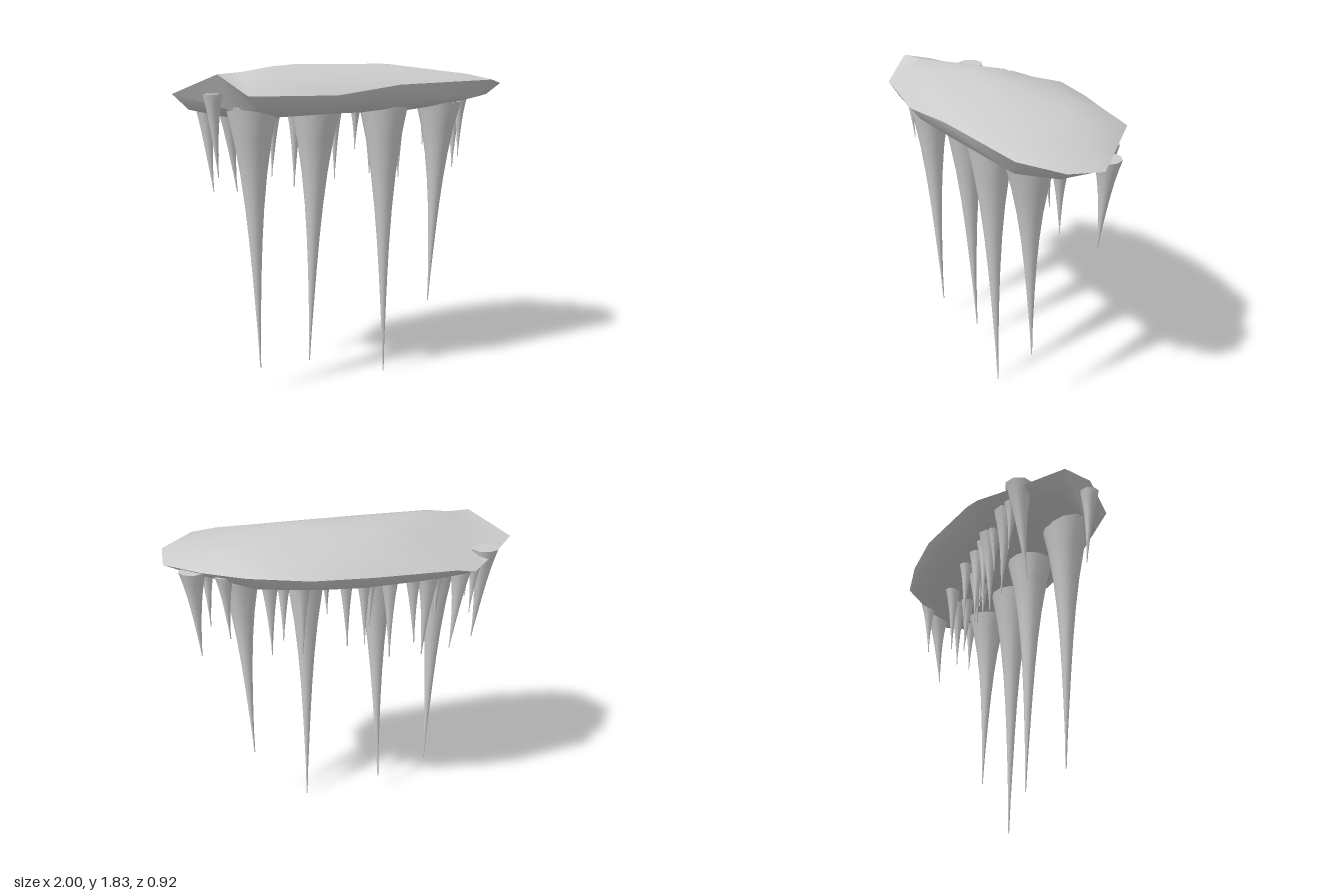
import * as THREE from 'three';
import { toCreasedNormals } from 'three/addons/utils/BufferGeometryUtils.js';

const material = new THREE.MeshStandardMaterial({ color: 0xcccccc });

// Rim of the slab, clockwise from above: x, z, height
const rim = [
  [-1, 0, 1.675], [-0.82, -0.18, 1.64], [-0.63, -0.365, 1.62], [-0.52, -0.385, 1.645], [-0.03, -0.46, 1.68],
  [0.3, -0.45, 1.69], [0.62, -0.39, 1.715], [0.82, -0.18, 1.69], [1, 0, 1.69],
  [0.985, 0.2, 1.715], [0.8, 0.37, 1.74], [0.15, 0.43, 1.72], [-0.24, 0.455, 1.67], [-0.72, 0.395, 1.67],
  [-0.83, 0.24, 1.78],
];

// Shrinking rings below and above the rim: scale, height (null = the rim itself)
const rings = [
  [0, 1.555], [0.4, 1.56], [0.7, 1.575], [0.91, 1.62], [1, null],
  [0.83, 1.79], [0.58, 1.825], [0.28, 1.83], [0, 1.83],
];

function slabGeometry() {
  const positions = [], index = [], n = rim.length;
  rings.forEach(([s, h], i) => {
    rim.forEach(([x, z, rimY], j) => {
      let y = h ?? rimY;
      if (i > 4) { // top slopes down to the +x end, the long edges and the back corner at -x
        const endSlope = 1.83 - 0.17 * (x * s - 0.36);
        const edgeSlope = 1.83 - 0.27 * Math.max(0, Math.abs(z * s) - 0.1);
        const cornerSlope = 1.93 + 0.286 * x * s + 0.37 * z * s;
        y = Math.min(y, endSlope, edgeSlope, cornerSlope);
      }
      if (i === 2 || i === 3) y = Math.min(y + 0.03 * x, rimY - 0.02); // underside rises to +x
      positions.push(x * s, y, z * s);
      if (i < rings.length - 1) {
        const k = (j + 1) % n, a = i * n + j, b = i * n + k;
        index.push(a, a + n, b + n, a, b + n, b);
      }
    });
  });
  const geo = new THREE.BufferGeometry();
  geo.setAttribute('position', new THREE.Float32BufferAttribute(positions, 3));
  geo.setIndex(index);
  return toCreasedNormals(geo, 0.85);
}

// Concave tapering spike with a flat cap, leaning from its top to its tip
function spike(name, [x, y, z], [tipX, tipY, tipZ], radius, sides, flare) {
  const geo = new THREE.CylinderGeometry(1, 1, 1, sides, 8);
  const p = geo.attributes.position;
  for (let i = 0; i < p.count; i++) {
    const t = 0.5 - p.getY(i);
    const r = Math.max(0.003, radius * (flare * Math.pow(1 - t, 4) + (1 - flare) * (1 - t)));
    const lean = t * t * 0.4 + t * 0.6;
    p.setXYZ(i,
      x + (tipX - x) * lean + p.getX(i) * r,
      y + (tipY - y) * t,
      z + (tipZ - z) * lean + p.getZ(i) * r);
  }
  const mesh = new THREE.Mesh(toCreasedNormals(geo, 0.9), material);
  mesh.name = name;
  return mesh;
}

// top, tip, radius
const large = [
  [[-0.62, 1.61, 0.18], [-0.58, 0.14, 0.15], 0.143],
  [[-0.22, 1.6, 0.13], [-0.24, 0.11, 0.07], 0.143],
  [[0.185, 1.6, 0.18], [0.212, 0, 0.155], 0.14],
  [[0.57, 1.61, 0.16], [0.545, 0.39, 0.115], 0.133],
];
const small = [
  [[-0.85, 1.68, 0.22], [-0.82, 1.24, 0.2], 0.055],
  [[-0.765, 1.68, -0.17], [-0.74, 1.12, -0.12], 0.08],
  [[-0.7, 1.6, -0.19], [-0.68, 1.31, -0.2], 0.04],
  [[-0.62, 1.6, -0.19], [-0.57, 1.1, -0.2], 0.07],
  [[-0.475, 1.6, -0.21], [-0.47, 1.29, -0.2], 0.04],
  [[-0.42, 1.6, -0.21], [-0.4, 1.08, -0.2], 0.073],
  [[-0.33, 1.6, -0.21], [-0.345, 1.17, -0.22], 0.055],
  [[-0.2, 1.6, -0.2], [-0.2, 1.1, -0.22], 0.06],
  [[-0.11, 1.6, -0.15], [-0.1, 1.27, -0.15], 0.04],
  [[-0.045, 1.6, -0.22], [-0.05, 1.2, -0.23], 0.047],
  [[0.03, 1.6, -0.13], [0.02, 1.15, -0.12], 0.053],
  [[0.12, 1.6, -0.04], [0.12, 1.33, -0.05], 0.04],
  [[0.29, 1.6, -0.19], [0.295, 1.16, -0.19], 0.053],
  [[0.365, 1.6, -0.06], [0.38, 1.21, -0.08], 0.053],
  [[0.45, 1.6, -0.1], [0.45, 1.14, -0.1], 0.058],
  [[0.71, 1.68, -0.225], [0.695, 1.32, -0.22], 0.05],
  [[0.76, 1.62, 0.1], [0.76, 1.27, 0.09], 0.043],
  [[0.86, 1.68, -0.11], [0.84, 1.18, -0.09], 0.073],
];

export function createModel() {
  const model = new THREE.Group();
  model.name = 'icicleShelf';

  const slab = new THREE.Mesh(slabGeometry(), material);
  slab.name = 'slab';
  model.add(slab);

  // Four long icicles towards the front, short ones mostly behind
  large.forEach(([top, tip, r], i) => model.add(spike(`longIcicle${i + 1}`, top, tip, r, 12, 0.55)));
  small.forEach(([top, tip, r], i) => model.add(spike(`shortIcicle${i + 1}`, top, tip, r, 8, 0.35)));
  return model;
}
